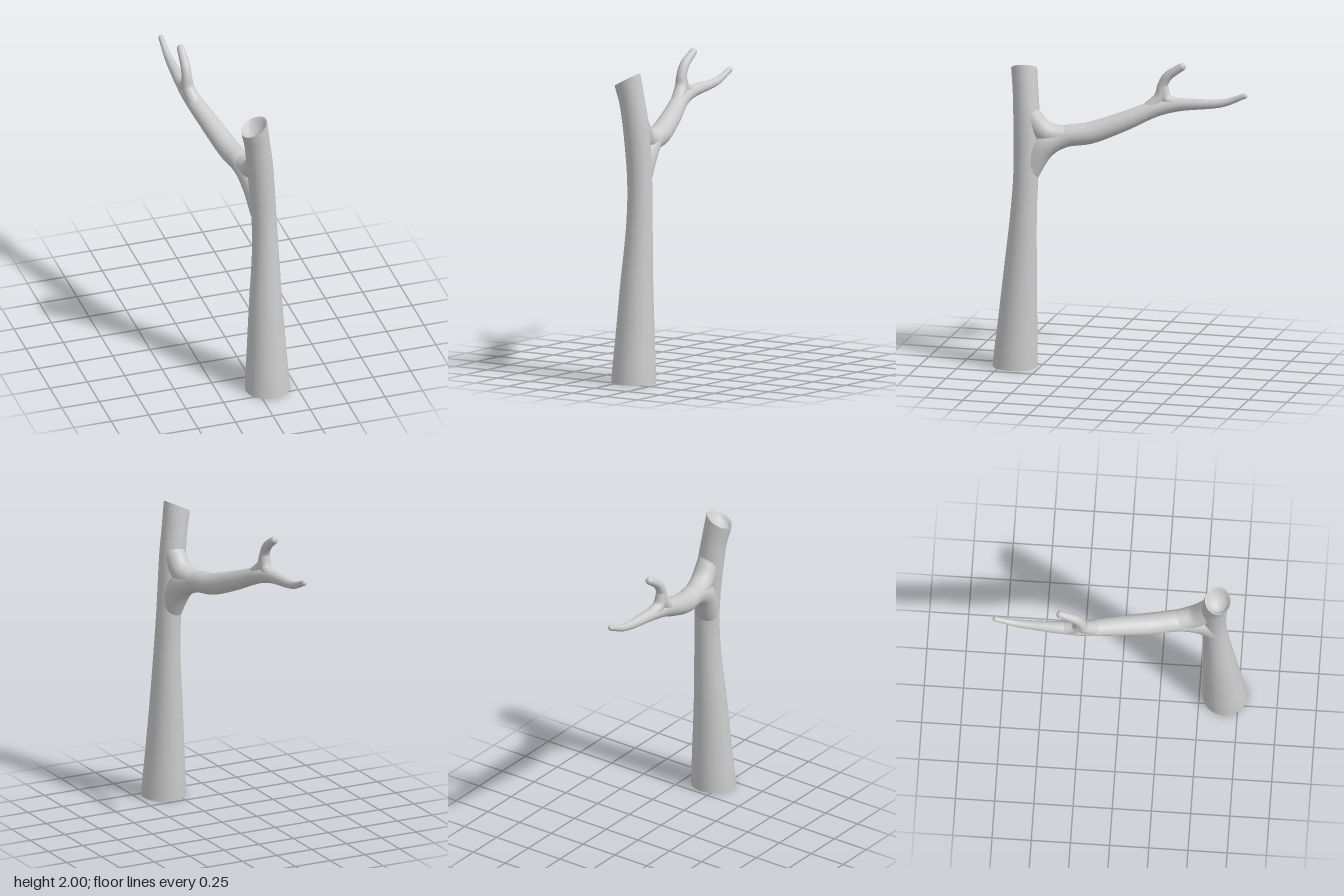
import * as THREE from 'three';

const SIDES = 24;
const material = new THREE.MeshStandardMaterial({ color: 0xcccccc, side: THREE.DoubleSide });

// Skin a list of rings, each an array of SIDES points
function loft(name, rings) {
  const index = [];
  for (let i = 0; i < rings.length - 1; i++) {
    for (let j = 0; j < SIDES; j++) {
      const k = (j + 1) % SIDES;
      const a = i * SIDES + j, b = i * SIDES + k;
      index.push(a, b, b + SIDES, a, b + SIDES, a + SIDES);
    }
  }
  const geometry = new THREE.BufferGeometry().setFromPoints(rings.flat());
  geometry.setIndex(index);
  geometry.computeVertexNormals();
  const mesh = new THREE.Mesh(geometry, material);
  mesh.name = name;
  return mesh;
}

// Circle around a centre, square to the tangent; tilt raises its +x side
function ring(center, tangent, radius, tilt = 0) {
  const n = new THREE.Vector3(1, 0, 0).addScaledVector(tangent, -tangent.x).normalize();
  const b = new THREE.Vector3().crossVectors(tangent, n);
  return Array.from({ length: SIDES }, (_, j) => {
    const a = (j / SIDES) * Math.PI * 2;
    const o = n.clone().multiplyScalar(Math.cos(a) * radius).addScaledVector(b, Math.sin(a) * radius);
    o.y += tilt * o.x;
    return o.add(center);
  });
}

// Rings along a smooth path of [x, y, z, radius] stations
function limbRings(stations, { roundTip = false, topTilt = 0, flatBase = false } = {}) {
  const path = new THREE.CatmullRomCurve3(stations.map(s => new THREE.Vector3(s[0], s[1], s[2])));
  const radii = new THREE.SplineCurve(stations.map(s => new THREE.Vector2(s[3], 0)));
  const steps = (stations.length - 1) * 8;
  const rings = [];
  for (let i = 0; i <= steps; i++) {
    const t = i / steps;
    const tangent = flatBase && i === 0 ? new THREE.Vector3(0, 1, 0) : path.getTangent(t);
    const tilt = topTilt * THREE.MathUtils.smoothstep(t, 0.82, 1);
    rings.push(ring(path.getPoint(t), tangent, radii.getPoint(t).x, tilt));
  }
  if (roundTip) {
    const end = path.getPoint(1), tangent = path.getTangent(1), r = radii.getPoint(1).x;
    for (let i = 1; i <= 6; i++) {
      const a = (i / 6) * Math.PI / 2;
      const c = end.clone().addScaledVector(tangent, r * Math.sin(a));
      rings.push(ring(c, tangent, r * Math.cos(a)));
    }
  }
  return rings;
}

export function createModel() {
  const group = new THREE.Group();
  group.name = 'bareTree';

  // Trunk, flared at the foot and leaning at the cut top
  const trunk = limbRings([
    [0.07, 0, 0.663, 0.143],
    [0.07, 0.3, 0.646, 0.125],
    [0.07, 0.6, 0.63, 0.107],
    [0.075, 1.0, 0.606, 0.085],
    [0.068, 1.28, 0.592, 0.08],
    [0.043, 1.62, 0.595, 0.084],
    [0.02, 1.8, 0.608, 0.082],
    [-0.005, 1.94, 0.624, 0.083],
  ], { topTilt: 0.34, flatBase: true });
  group.add(loft('trunk', trunk));

  // Flat underside
  const foot = new THREE.Mesh(new THREE.CircleGeometry(0.143, SIDES), material);
  foot.name = 'trunkUnderside';
  foot.rotation.x = Math.PI / 2;
  foot.position.set(0.07, 0, 0.663);
  group.add(foot);

  // Hollow in the cut top: the rim shrunk and lowered step by step
  const rim = trunk[trunk.length - 1];
  const centre = rim.reduce((s, p) => s.add(p), new THREE.Vector3()).divideScalar(SIDES);
  const bowl = [[1, 0], [0.9, 0.004], [0.8, 0.022], [0.6, 0.04], [0.3, 0.05], [0, 0.053]];
  group.add(loft('trunkHollow', bowl.map(([scale, depth]) => rim.map(p => {
    const q = centre.clone().lerp(p, scale);
    q.y -= depth;
    return q;
  }))));

  // Long side branch, growing out of the trunk toward the back
  group.add(loft('branch', limbRings([
    [0.06, 1.26, 0.59, 0.074],
    [0.035, 1.45, 0.485, 0.084],
    [0, 1.51, 0.36, 0.071],
    [-0.04, 1.535, 0.2, 0.07],
    [-0.095, 1.608, 0, 0.063],
    [-0.155, 1.692, -0.2, 0.052],
    [-0.174, 1.723, -0.34, 0.042],
    [-0.176, 1.755, -0.64, 0.025],
    [-0.176, 1.812, -0.784, 0.018],
  ], { roundTip: true })));

  // Upper fillet between trunk and branch
  group.add(loft('branchCrotch', limbRings([
    [0.045, 1.67, 0.59, 0.07],
    [0.03, 1.54, 0.48, 0.072],
    [0, 1.513, 0.35, 0.066],
  ])));

  // Short twig rising from the branch
  group.add(loft('twig', limbRings([
    [-0.15, 1.69, -0.16, 0.046],
    [-0.173, 1.765, -0.228, 0.041],
    [-0.178, 1.84, -0.241, 0.033],
    [-0.178, 1.905, -0.275, 0.031],
    [-0.178, 1.975, -0.37, 0.025],
  ], { roundTip: true })));

  // Fillet on the far side of the twig
  group.add(loft('twigCrotch', limbRings([
    [-0.174, 1.725, -0.35, 0.038],
    [-0.176, 1.755, -0.268, 0.038],
    [-0.178, 1.85, -0.243, 0.031],
  ])));

  return group;
}
